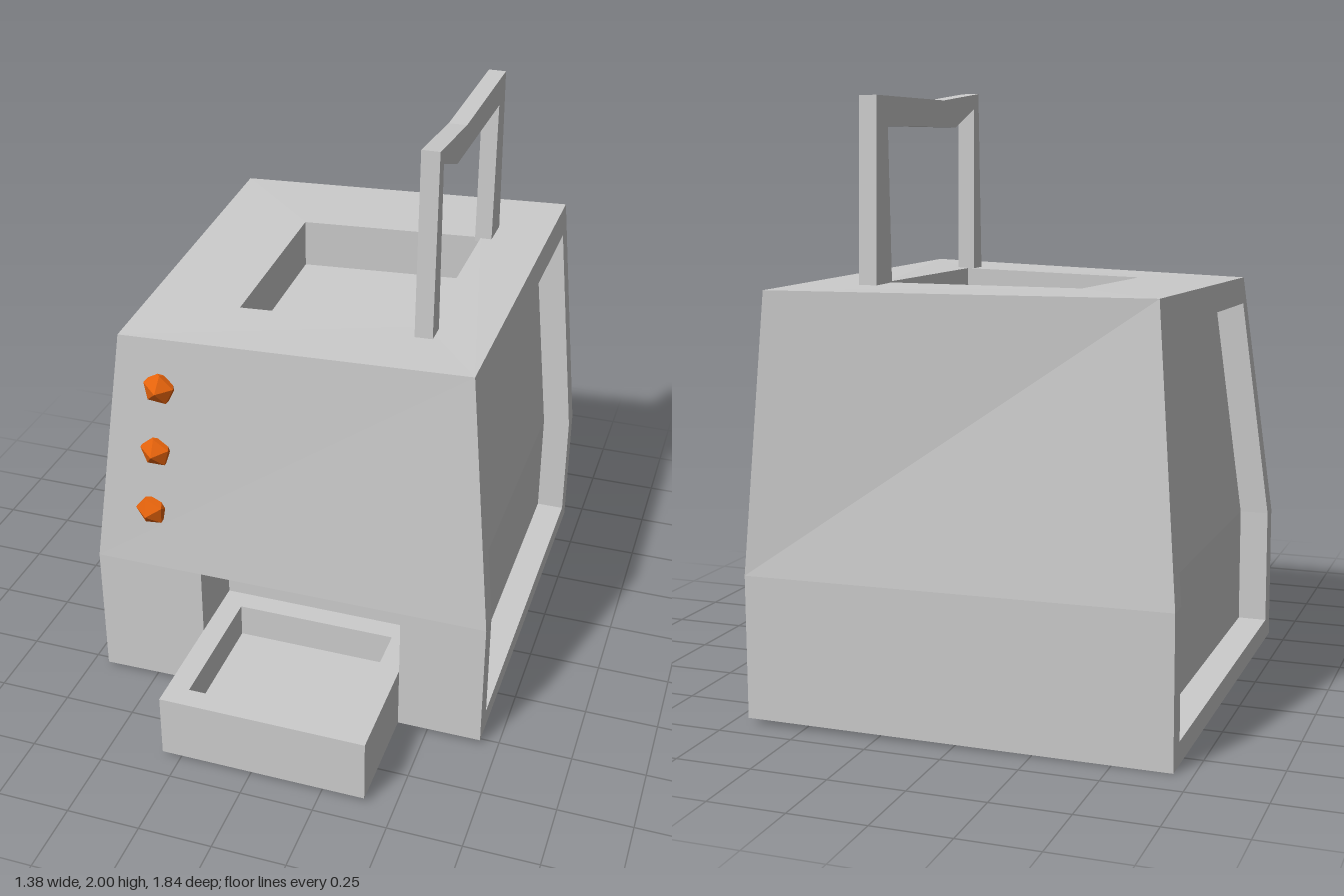
import * as THREE from 'three';

const grey = new THREE.MeshStandardMaterial({ color: 0xcccccc, flatShading: true });
const orange = new THREE.MeshStandardMaterial({ color: 0xe8640c, flatShading: true });

// Quads given counter-clockwise as seen from outside
function quadMesh(name, quads) {
  const pos = [];
  for (const [a, b, c, d] of quads) pos.push(...a, ...b, ...c, ...a, ...c, ...d);
  const geo = new THREE.BufferGeometry();
  geo.setAttribute('position', new THREE.Float32BufferAttribute(pos, 3));
  geo.computeVertexNormals();
  const mesh = new THREE.Mesh(geo, grey);
  mesh.name = name;
  return mesh;
}

// Strip of quads joining two closed loops
function bridge(a, b) {
  return a.map((p, i) => {
    const j = (i + 1) % a.length;
    return [p, a[j], b[j], b[i]];
  });
}

const mix = (a, b, t) => a.map((v, i) => v + (b[i] - v) * t);
const shift = (loop, dx, dy, dz) => loop.map(([x, y, z]) => [x + dx, y + dy, z + dz]);

// Corner posts of the body: bottom, bend, top
const FR = [[0.69, 0.02, 0.53], [0.69, 0.485, 0.53], [0.6, 1.385, 0.475]];
const BR = [[0.69, 0.02, -0.92], [0.69, 0.485, -0.92], [0.6, 1.385, -0.92]];
const FL = [[-0.69, 0.01, 0.535], [-0.69, 0.485, 0.535], [-0.58, 1.345, 0.49]];
const BL = [[-0.69, 0, -0.88], [-0.69, 0.485, -0.88], [-0.61, 1.385, -0.79]];

// Bent side wall with a framed, recessed panel
function sideWall(name, a, b, inward) {
  const inset = (t, u) => {
    const at = (post) => (u < 1 ? mix(post[0], post[1], u) : mix(post[1], post[2], u - 1));
    return mix(at(a), at(b), t);
  };
  const outer = [a[0], b[0], b[1], b[2], a[2], a[1]];
  const rim = [[0.05, 0.15], [0.95, 0.15], [0.95, 1], [0.95, 1.895], [0.05, 1.895], [0.05, 1]]
    .map(([t, u]) => inset(t, u));
  const deep = shift(rim, inward, 0, 0);
  return quadMesh(name, [
    ...bridge(outer, rim), ...bridge(rim, deep),
    [deep[0], deep[1], deep[2], deep[5]], [deep[5], deep[2], deep[3], deep[4]],
  ]);
}

// Front wall with the niche for the tray
function frontWall() {
  const niche = [[-0.31, 0.015, 0.533], [0.4, 0.02, 0.531], [0.4, 0.485, 0.531], [-0.31, 0.485, 0.533]];
  const back = niche.map(([x, y]) => [x, y, 0.29]);
  return quadMesh('frontWall', [
    [FL[0], niche[0], niche[3], FL[1]], [niche[1], FR[0], FR[1], niche[2]],
    [FL[1], FR[1], FR[2], FL[2]], ...bridge(niche, back), back,
  ]);
}

// Top with a rectangular well
function topWall() {
  const rim = [[-0.265, 1.358, 0.21], [0.37, 1.377, 0.183], [0.37, 1.384, -0.532], [-0.275, 1.378, -0.475]];
  const floor = shift(rim, 0, -0.17, 0);
  return quadMesh('topWithWell', [
    ...bridge([FL[2], FR[2], BR[2], BL[2]], rim), ...bridge(rim, floor), floor,
  ]);
}

// Open tray sliding out of the niche
function tray() {
  const rect = (x0, x1, z0, z1, y) => [[x0, y, z1], [x1, y, z1], [x1, y, z0], [x0, y, z0]];
  const base = rect(-0.31, 0.4, 0.29, 0.917, 0.02);
  const top = rect(-0.31, 0.4, 0.29, 0.917, 0.245);
  const rim = rect(-0.235, 0.325, 0.365, 0.842, 0.245);
  const floor = shift(rim, 0, -0.12, 0);
  return quadMesh('tray', [
    ...bridge(base, top), ...bridge(top, rim), ...bridge(rim, floor), floor, [...base].reverse(),
  ]);
}

// Bent carrying handle cut from a flat profile of (z, y) points
function handle() {
  const profile = [[0.265, 1.37], [0.245, 2], [-0.08, 1.97], [-0.62, 1.975], [-0.645, 1.37],
    [-0.525, 1.37], [-0.54, 1.88], [0.03, 1.88], [0.2, 1.945], [0.19, 1.37]];
  const shape = new THREE.Shape(profile.map(([z, y]) => new THREE.Vector2(-z, y)));
  const geo = new THREE.ExtrudeGeometry(shape, { depth: 0.06, bevelEnabled: false });
  geo.rotateY(Math.PI / 2).translate(0.35, 0, 0);
  const mesh = new THREE.Mesh(geo, grey);
  mesh.name = 'handle';
  return mesh;
}

export function createModel() {
  const model = new THREE.Group();
  model.name = 'boxWithTray';

  const body = new THREE.Group();
  body.name = 'body';
  body.add(
    frontWall(),
    topWall(),
    sideWall('leftWall', FR, BR, -0.1),
    sideWall('rightWall', BL, FL, 0.1),
    quadMesh('backWall', [[BR[0], BL[0], BL[1], BR[1]], [BR[1], BL[1], BL[2], BR[2]]]),
    quadMesh('bottom', [[BL[0], BR[0], FR[0], FL[0]]]),
  );
  model.add(body, tray(), handle());

  // Column of faceted buttons on the front
  [[-0.44, 1.175, 0.487], [-0.46, 0.937, 0.493], [-0.483, 0.708, 0.507]].forEach(([x, y, z], i) => {
    const button = new THREE.Mesh(new THREE.IcosahedronGeometry(0.06, 0), orange);
    button.name = 'button' + (i + 1);
    button.position.set(x, y, z);
    button.rotation.set(0.5, 0.3, 0.4 + i * 0.2);
    model.add(button);
  });
  return model;
}
